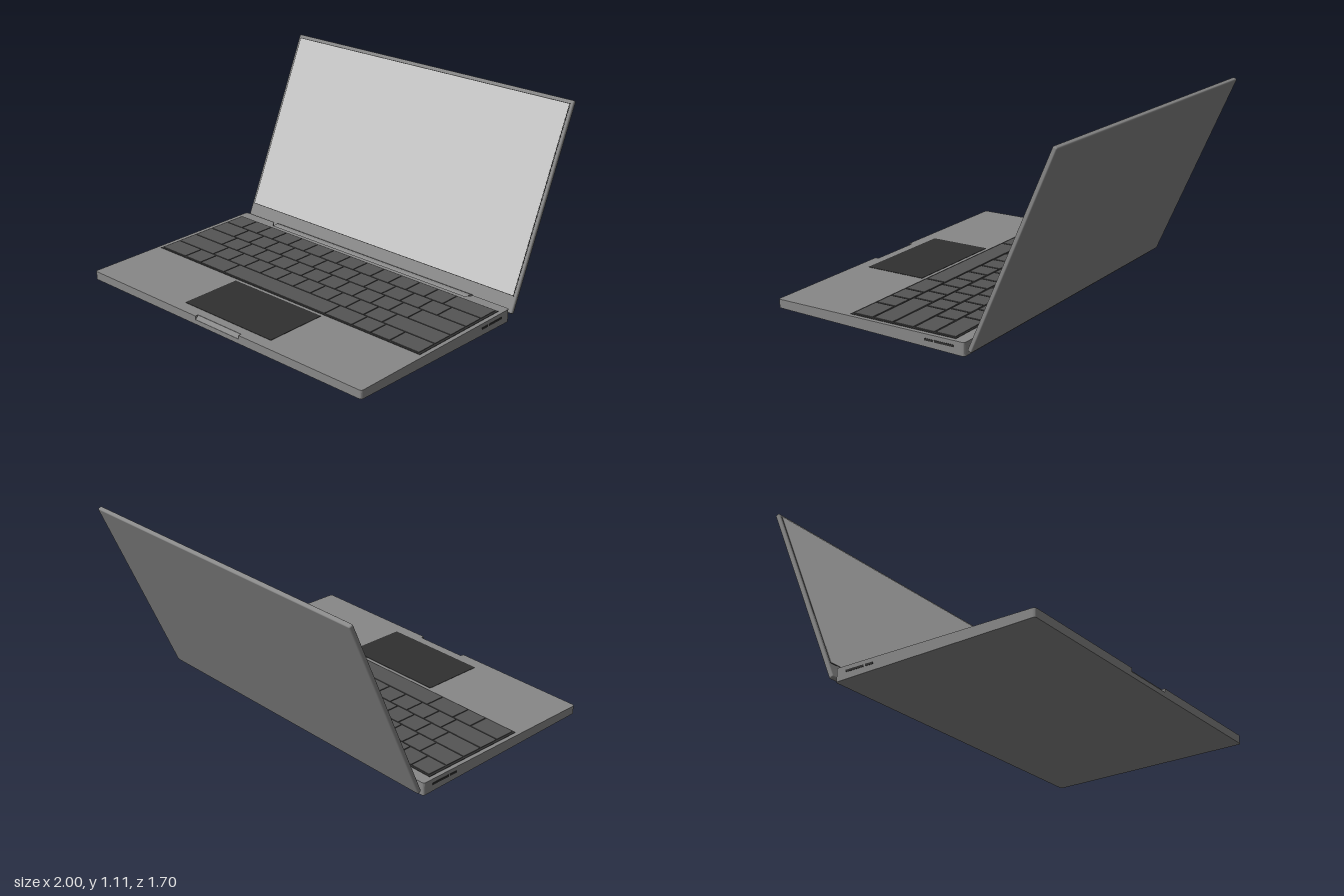
import * as THREE from 'three';
import { RoundedBoxGeometry } from 'three/addons/geometries/RoundedBoxGeometry.js';

const material = (name, color) => {
  const m = new THREE.MeshStandardMaterial({ color });
  m.name = name;
  return m;
};

export function createModel() {
  const metal = material('grey metal', 0x888888);
  const screenGrey = material('screen grey', 0xc6c6c6);
  const keyGrey = material('key grey', 0x555555);
  const black = material('soft black', 0x303030);

  const laptop = new THREE.Group();
  laptop.name = 'laptop';
  const add = (parent, name, geometry, mat, x = 0, y = 0, z = 0) => {
    const mesh = new THREE.Mesh(geometry, mat);
    mesh.name = name;
    mesh.position.set(x, y, z);
    parent.add(mesh);
    return mesh;
  };
  const box = (w, h, d) => new THREE.BoxGeometry(w, h, d);

  const FRONT = 0.847, BACK = -0.34, TOP = 0.073, STEP = 0.052, W = 0.997;

  // Base outline in plan (shape y = -z), optionally with hinge and finger notches
  const basePlan = (notched) => {
    const s = new THREE.Shape(), r = 0.016, f = -FRONT, b = -BACK;
    s.moveTo(-W + r, f);
    if (notched) {
      s.lineTo(-0.163, f); s.lineTo(-0.163, f + 0.02);
      s.lineTo(0.163, f + 0.02); s.lineTo(0.163, f);
    }
    s.lineTo(W - r, f);
    s.quadraticCurveTo(W, f, W, f + r);
    s.lineTo(W, b - r);
    s.quadraticCurveTo(W, b, W - r, b);
    if (notched) {
      s.lineTo(0.76, b); s.lineTo(0.73, b - 0.04);
      s.lineTo(-0.73, b - 0.04); s.lineTo(-0.76, b);
    }
    s.lineTo(-W + r, b);
    s.quadraticCurveTo(-W, b, -W, b - r);
    s.lineTo(-W, f + r);
    s.quadraticCurveTo(-W, f, -W + r, f);
    return s;
  };
  const slab = (shape, depth, y) => new THREE.ExtrudeGeometry(shape, { depth, bevelEnabled: false, curveSegments: 4 })
    .rotateX(-Math.PI / 2).translate(0, y, 0);

  // Lower base: underside rises toward the front
  const lower = slab(basePlan(false), STEP, 0);
  const p = lower.attributes.position;
  for (let i = 0; i < p.count; i++) {
    if (p.getY(i) < 0.01) p.setY(i, 0.025 * (p.getZ(i) - BACK) / (FRONT - BACK));
  }
  lower.computeVertexNormals();
  add(laptop, 'lowerBase', lower, metal);
  add(laptop, 'upperBase', slab(basePlan(true), TOP - STEP, STEP), metal);

  // Extrude a (z, y) side profile across the width
  const across = (points, width) => {
    const s = new THREE.Shape(points.map(([z, y]) => new THREE.Vector2(-z, y)));
    return new THREE.ExtrudeGeometry(s, { depth: width, bevelEnabled: false })
      .translate(0, 0, -width / 2).rotateY(Math.PI / 2);
  };
  add(laptop, 'fingerNotchSlope', across([[FRONT - 0.021, STEP], [FRONT - 0.001, STEP], [FRONT - 0.021, TOP - 0.001]], 0.326), metal);
  add(laptop, 'hingeBar', across([[-0.308, 0.05], [-0.308, 0.06], [-0.325, 0.071], [-0.345, 0.071],
    [-0.372, 0.058], [-0.374, 0.036], [-0.338, 0.034]], 1.47), metal);

  // Keyboard: key widths in units per row
  const keyboard = new THREE.Group();
  keyboard.name = 'keyboard';
  laptop.add(keyboard);
  add(keyboard, 'keyboardWell', box(1.946, 0.004, 0.656), black, 0, TOP, 0.054);
  const ones = (n) => Array(n).fill(1);
  const rows = [
    [...ones(13), 2],
    [1.5, ...ones(12), 1.5],
    [1.75, ...ones(11), 2.25],
    [2.25, ...ones(10), 2.75],
    [1.5, 1, 1.5, 6, 1.5, 1, 1, 1.5],
  ];
  const unit = 0.1284, gap = 0.01;
  rows.forEach((widths, row) => {
    let x = -7.5 * unit;
    for (const w of widths) {
      add(keyboard, 'key', box(w * unit - gap, 0.004, unit - gap), keyGrey,
        x + w * unit / 2, TOP + 0.003, 0.054 + (row - 2) * unit);
      x += w * unit;
    }
  });

  add(laptop, 'trackpad', box(0.645, 0.004, 0.372), black, 0, TOP, 0.588);

  // Side ports
  for (const side of [-1, 1]) {
    for (const [z, length] of [[-0.125, 0.05], [-0.217, 0.115]]) {
      add(laptop, 'port', box(0.004, 0.012, length), black, side * W, 0.044, z);
    }
  }

  // Lid, leaning back from the hinge
  const lid = new THREE.Group();
  lid.name = 'lid';
  lid.position.set(0, 0.032, -0.368);
  lid.rotation.x = -Math.atan2(0.473, 1.077);
  laptop.add(lid);
  const L = 1.178, T = 0.026;
  add(lid, 'lidShell', new RoundedBoxGeometry(2, L, T, 2, 0.008), metal, 0, L / 2, 0);
  add(lid, 'screenBorder', box(1.968, 1.066, 0.002), black, 0, 0.626, T / 2);
  add(lid, 'screen', box(1.96, 1.058, 0.004), screenGrey, 0, 0.626, T / 2);

  return laptop;
}
